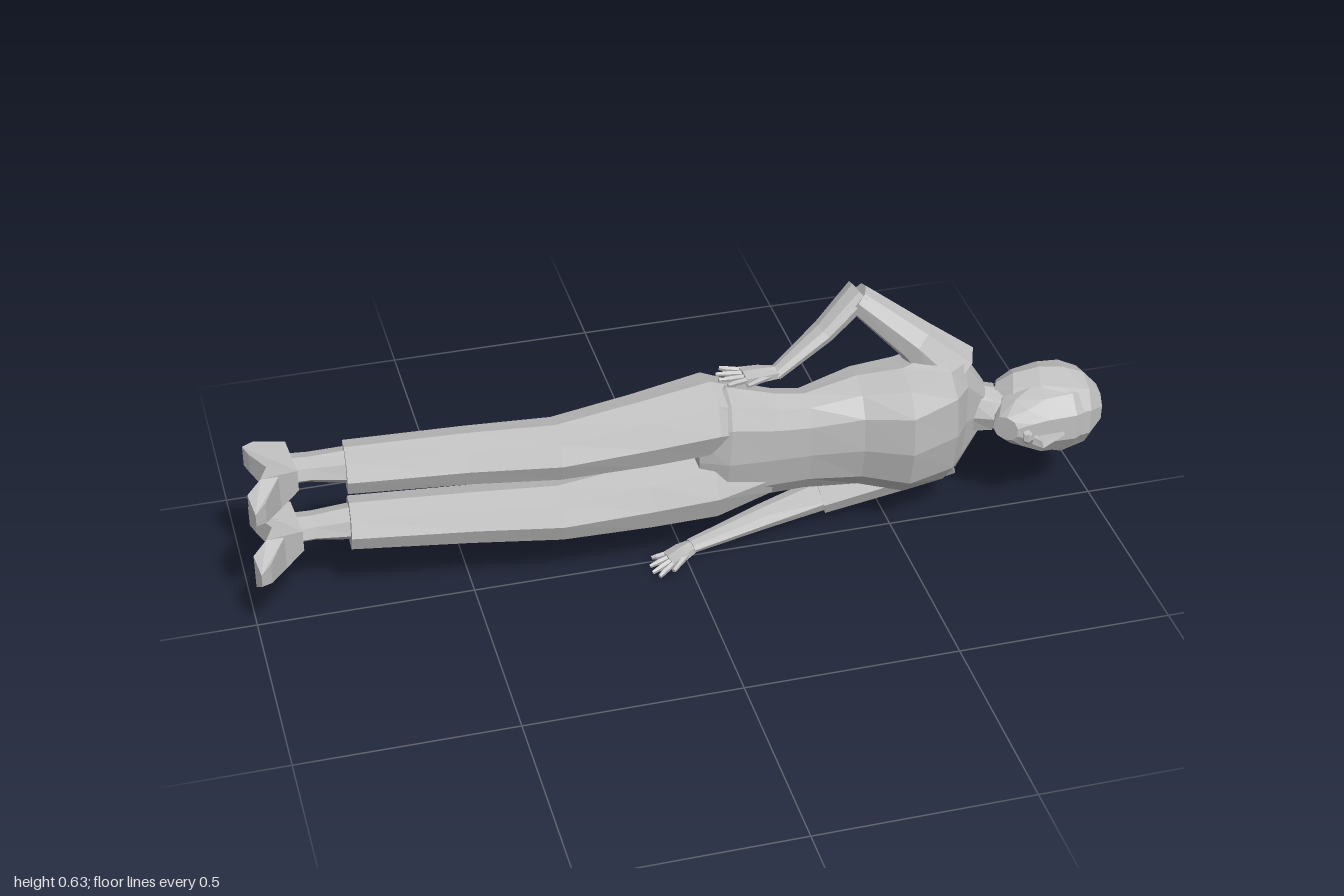
import * as THREE from 'three';

const grey = new THREE.MeshStandardMaterial({ color: 0xbfbfbf, flatShading: true });
grey.name = 'plain grey';

// Closed faceted tube through sections [x, y, z, sideRadius, depthRadius];
// power below 1 squares the rings, shear slants their depth with height
function loft(name, sections, sides = 8, power = 0.9, shear = 0) {
  const ref = new THREE.Vector3(0, 0, 1);
  const bend = v => Math.sign(v) * Math.pow(Math.abs(v), power);
  const centres = sections.map(s => new THREE.Vector3(s[0], s[1], s[2]));
  const last = sections.length - 1;
  const rings = sections.map((s, i) => {
    const dir = centres[Math.min(i + 1, last)].clone().sub(centres[Math.max(i - 1, 0)]).normalize();
    const w = dir.clone().cross(ref).normalize();
    const c = dir.clone().cross(w);
    return Array.from({ length: sides }, (_, j) => {
      const a = (j / sides) * Math.PI * 2;
      const p = centres[i].clone().addScaledVector(w, bend(Math.cos(a)) * s[3])
        .addScaledVector(c, bend(Math.sin(a)) * s[4]);
      p.z += shear * (p.y - s[1]);
      return p;
    });
  });
  const pts = [];
  for (let j = 0; j < sides; j++) {
    const k = (j + 1) % sides;
    for (let i = 0; i < last; i++) {
      const a = rings[i][j], b = rings[i][k], c = rings[i + 1][k], d = rings[i + 1][j];
      pts.push(a, b, c, a, c, d);
    }
    pts.push(centres[0], rings[0][k], rings[0][j], centres[last], rings[last][j], rings[last][k]);
  }
  const geo = new THREE.BufferGeometry().setFromPoints(pts);
  geo.computeVertexNormals();
  const mesh = new THREE.Mesh(geo, grey);
  mesh.name = name;
  return mesh;
}

// Shoe: side profile (x, z) extruded across y, narrowed at toe, heel and ankle
function shoe(y) {
  const profile = [[-0.89, -0.105], [-0.96, -0.122], [-0.985, -0.11], [-0.975, -0.08], [-0.945, -0.02],
    [-0.965, 0.03], [-1.0, 0.075], [-0.99, 0.11], [-0.965, 0.09], [-0.925, 0.03], [-0.88, 0.0]];
  const geo = new THREE.ExtrudeGeometry(new THREE.Shape(profile.map(p => new THREE.Vector2(p[0], p[1]))),
    { depth: 1, bevelEnabled: false });
  geo.translate(0, 0, -0.5);
  const p = geo.attributes.position;
  for (let i = 0; i < p.count; i++) {
    const x = p.getX(i), z = p.getY(i);
    let width = z < -0.07 ? 0.05 : z < 0.02 ? 0.066 : z < 0.08 ? 0.085 : z < 0.1 ? 0.05 : 0.03;
    if (x > -0.9) width = 0.052;
    p.setXYZ(i, x, y - p.getZ(i) * width - 0.1 * z, z);
  }
  geo.computeVertexNormals();
  const mesh = new THREE.Mesh(geo, grey);
  mesh.name = 'shoe';
  return mesh;
}

// Palm, four fingers and a thumb, pointing from wrist to tip
function hand(name, wrist, tip) {
  const g = new THREE.Group();
  g.name = name;
  const at = (t, across = 0) => [
    wrist[0] + (tip[0] - wrist[0]) * t,
    wrist[1] + (tip[1] - wrist[1]) * t,
    wrist[2] + (tip[2] - wrist[2]) * t + across];
  g.add(loft('palm', [[...at(0), 0.014, 0.018], [...at(0.3), 0.014, 0.029], [...at(0.6), 0.01, 0.031]], 6));
  for (let f = 0; f < 4; f++) {
    const o = (f - 1.5) * 0.014;
    const reach = f === 0 || f === 3 ? 0.9 : 1;
    g.add(loft('finger', [[...at(0.55, o), 0.007, 0.007], [...at(0.8, o * 1.5), 0.007, 0.007],
      [...at(reach, o * 1.8), 0.005, 0.004]], 5));
  }
  g.add(loft('thumb', [[...at(0.2, 0.015), 0.009, 0.009], [...at(0.6, 0.045), 0.005, 0.006]], 5));
  return g;
}

export function createModel() {
  const model = new THREE.Group();
  model.name = 'recliningFigure';

  model.add(loft('torso', [
    [0.02, 0.285, -0.025, 0.1, 0.06],
    [0.09, 0.287, -0.03, 0.165, 0.097],
    [0.2, 0.277, -0.02, 0.143, 0.08],
    [0.28, 0.273, -0.018, 0.136, 0.075],
    [0.41, 0.278, -0.03, 0.152, 0.108],
    [0.51, 0.28, -0.005, 0.17, 0.133],
    [0.6, 0.282, -0.025, 0.184, 0.113],
    [0.655, 0.285, -0.04, 0.18, 0.08],
    [0.72, 0.285, -0.035, 0.07, 0.042]], 12, 0.8, 0.14));

  // Trouser legs, ankles and shoes
  for (const s of [1, -1]) {
    const leg = new THREE.Group();
    leg.name = s > 0 ? 'upperLeg' : 'lowerLeg';
    leg.add(loft('trouserLeg', [
      [0.2, 0.28 + s * 0.07, -0.02, 0.06, 0.06],
      [0.06, 0.287 + s * 0.087, -0.028, 0.085, 0.1],
      [-0.1, 0.283 + s * 0.085, -0.01, 0.077, 0.087],
      [-0.3, 0.279 + s * 0.083, 0.002, 0.063, 0.077],
      [-0.5, 0.284 + s * 0.081, -0.02, 0.059, 0.07],
      [-0.77, 0.292 + s * 0.076, -0.04, 0.053, 0.066]], 8, 0.85));
    leg.add(loft('ankle', [
      [-0.75, 0.292 + s * 0.077, -0.045, 0.04, 0.048],
      [-0.85, 0.294 + s * 0.08, -0.052, 0.028, 0.042],
      [-0.94, 0.298 + s * 0.082, -0.05, 0.03, 0.045]], 7));
    leg.add(shoe(0.296 + s * 0.082));
    model.add(leg);
  }

  // Bent arm with the hand on the hip
  model.add(loft('bentUpperArm', [
    [0.635, 0.4, -0.02, 0.075, 0.07],
    [0.55, 0.49, -0.035, 0.05, 0.057],
    [0.42, 0.6, -0.073, 0.034, 0.042]], 8));
  model.add(loft('bentForearm', [
    [0.43, 0.61, -0.076, 0.03, 0.04],
    [0.34, 0.528, -0.06, 0.023, 0.034],
    [0.22, 0.45, -0.035, 0.015, 0.021]], 8));
  model.add(hand('hipHand', [0.23, 0.453, -0.035], [0.08, 0.472, -0.022]));

  // Straight arm with a short wide sleeve
  model.add(loft('sleeve', [
    [0.65, 0.155, -0.055, 0.055, 0.07],
    [0.56, 0.115, -0.07, 0.052, 0.063],
    [0.345, 0.066, -0.076, 0.045, 0.054]], 8));
  model.add(loft('straightForearm', [
    [0.37, 0.07, -0.072, 0.036, 0.043],
    [0.2, 0.055, -0.035, 0.025, 0.035],
    [0.01, 0.037, 0.012, 0.014, 0.021]], 8));
  model.add(hand('restingHand', [0.02, 0.038, 0.01], [-0.09, 0.005, 0.034]));

  // Neck and collar
  model.add(loft('neck', [
    [0.68, 0.285, -0.03, 0.05, 0.048],
    [0.8, 0.276, 0.0, 0.045, 0.05]], 8));
  model.add(loft('collar', [
    [0.68, 0.285, -0.032, 0.065, 0.052],
    [0.745, 0.283, -0.013, 0.052, 0.057]], 8));

  // Face, with chin, nose and lips
  const head = new THREE.Group();
  head.name = 'head';
  head.add(loft('face', [
    [0.748, 0.274, 0.07, 0.03, 0.032],
    [0.775, 0.273, 0.045, 0.06, 0.061],
    [0.83, 0.27, 0.025, 0.088, 0.08],
    [0.9, 0.27, 0.02, 0.092, 0.085],
    [0.95, 0.27, 0.01, 0.075, 0.07]], 10));
  head.add(loft('nose', [
    [0.81, 0.25, 0.1, 0.015, 0.012],
    [0.82, 0.25, 0.112, 0.013, 0.018],
    [0.88, 0.258, 0.098, 0.006, 0.007]], 5));
  head.add(loft('lips', [
    [0.783, 0.262, 0.097, 0.015, 0.006],
    [0.793, 0.262, 0.099, 0.02, 0.009],
    [0.801, 0.262, 0.1, 0.012, 0.006]], 6));
  // Hair covering the crown, sides and back
  head.add(loft('hair', [
    [0.755, 0.275, -0.04, 0.055, 0.045],
    [0.79, 0.272, -0.025, 0.088, 0.066],
    [0.85, 0.27, -0.012, 0.106, 0.082],
    [0.905, 0.269, 0.003, 0.107, 0.096],
    [0.955, 0.269, 0.008, 0.088, 0.083],
    [0.99, 0.268, 0.008, 0.05, 0.05],
    [1.0, 0.268, 0.008, 0.018, 0.018]], 10));
  model.add(head);

  return model;
}
